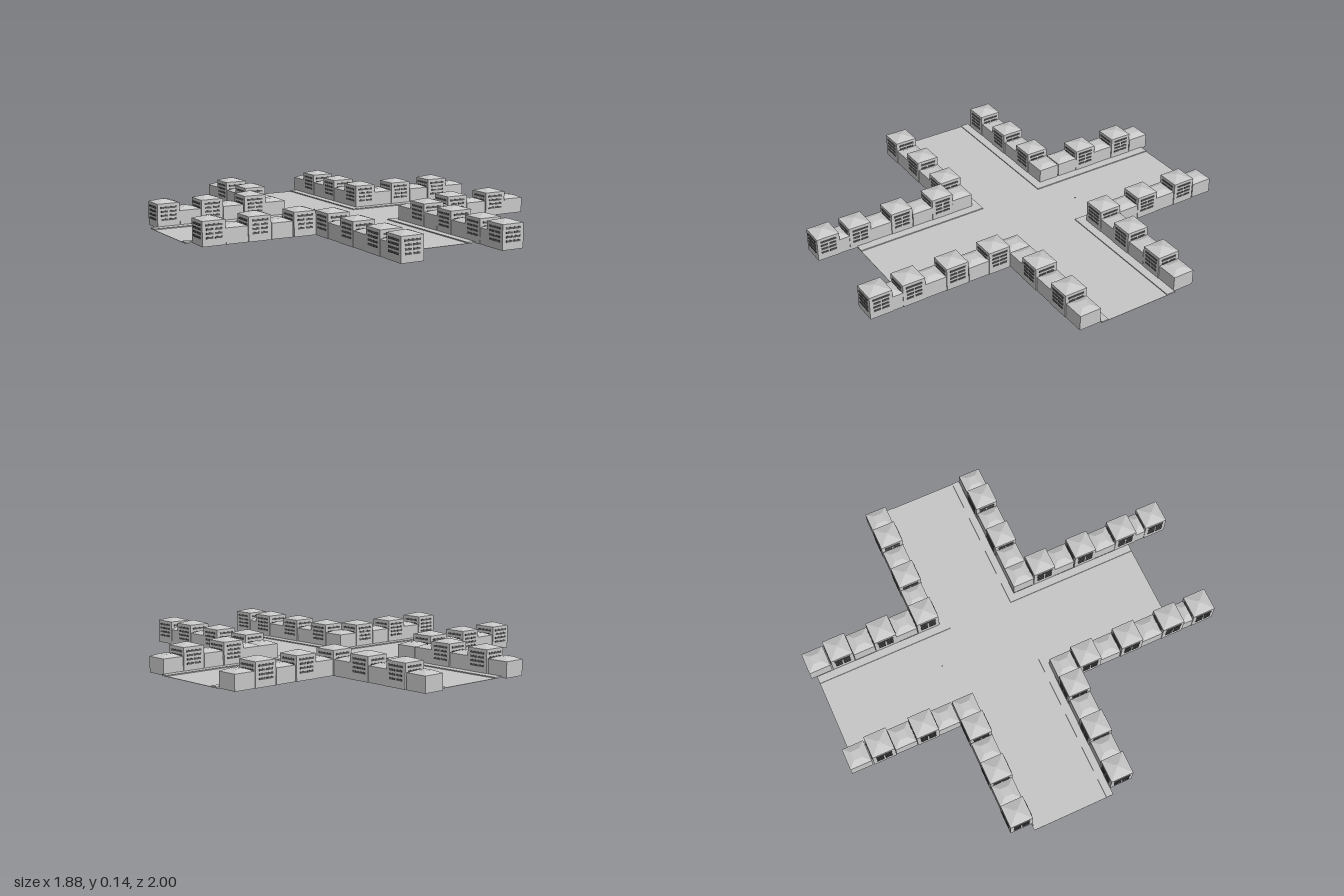
import * as THREE from 'three';

const stone = new THREE.MeshStandardMaterial({ color: 0xc8c8c8 });
stone.name = 'light grey';
const glass = new THREE.MeshStandardMaterial({ color: 0x5c5c5c });
glass.name = 'dark grey';

const LOW = { width: 0.113, wall: 0.078, roof: 0.014, top: 0.4 };
const TALL = { width: 0.118, wall: 0.12, roof: 0.016, top: 0.12 };

function mesh(name, geometry, material, x = 0, y = 0, z = 0) {
  const m = new THREE.Mesh(geometry, material);
  m.name = name;
  m.position.set(x, y, z);
  return m;
}

// Box given by its corners on the ground plan
function slab(name, x0, x1, z0, z1, y0, y1) {
  return mesh(name, new THREE.BoxGeometry(Math.abs(x1 - x0), y1 - y0, Math.abs(z1 - z0)), stone,
    (x0 + x1) / 2, (y0 + y1) / 2, (z0 + z1) / 2);
}

// Four-sided hipped roof with crisp faces
function roofGeometry({ width, roof, top }) {
  const r = width / Math.SQRT2;
  const g = new THREE.CylinderGeometry(r * top, r, roof, 4).rotateY(Math.PI / 4).toNonIndexed();
  g.computeVertexNormals();
  return g;
}

function building(kind, x, z) {
  const group = new THREE.Group();
  const tall = kind === TALL;
  group.name = tall ? 'tallHouse' : 'lowHouse';
  group.position.set(x, 0, z);
  const { width, wall, roof } = kind;
  group.add(mesh('walls', new THREE.BoxGeometry(width, wall, width), stone, 0, wall / 2, 0));
  group.add(mesh('roof', roofGeometry(kind), stone, 0, wall + roof / 2, 0));
  if (tall) {
    // Window bands on all four sides: a full one on top, split ones below
    for (let side = 0; side < 4; side++) {
      const face = new THREE.Group();
      face.name = 'windows';
      face.rotation.y = side * Math.PI / 2;
      [0.1, 0.08, 0.06, 0.04].forEach((y, row) => {
        const bands = row === 0 ? [[0, 0.084]] : [[-0.022, 0.036], [0.022, 0.036]];
        for (const [bx, w] of bands) {
          face.add(mesh('window', new THREE.BoxGeometry(w, 0.009, 0.006), glass, bx, y, width / 2));
        }
      });
      group.add(face);
    }
  }
  return group;
}

export function createModel() {
  const model = new THREE.Group();
  model.name = 'crossroads';

  // Crossing roads
  const road = new THREE.Group();
  road.name = 'road';
  road.add(slab('crossRoad', -0.94, 0.94, -0.3, 0.125, 0, 0.002));
  road.add(slab('backRoad', -0.2, 0.23, -0.97, -0.3, 0, 0.002));
  road.add(slab('frontRoad', -0.2, 0.23, 0.125, 0.79, 0, 0.002));
  road.add(mesh('manholeCover', new THREE.CylinderGeometry(0.004, 0.004, 0.002, 8), glass, 0.02, 0.003, -0.37));
  model.add(road);

  // Pavement round each corner
  for (const [px, bx, ex] of [[-0.15, -0.2, -0.94], [0.19, 0.23, 0.94]]) {
    for (const [pz, bz, ez] of [[0.09, 0.127, 0.79], [-0.25, -0.295, -0.97]]) {
      const pavement = new THREE.Group();
      pavement.name = 'pavement';
      pavement.add(slab('sidePavement', px, ex, pz, bz, 0, 0.007));
      pavement.add(slab('lengthPavement', px, bx, bz, ez, 0, 0.007));
      model.add(pavement);
    }
  }

  // House rows along the side arms, from the crossing outwards
  const leftXs = [0.29, 0.402, 0.515, 0.635, 0.755, 0.873];
  const rightXs = [-0.253, -0.37, -0.49, -0.61, -0.727, -0.845];
  for (const z of [-0.352, 0.185]) {
    leftXs.forEach((x, i) => {
      const tall = i % 2 === 0 && !(i === 0 && z > 0);
      model.add(building(tall ? TALL : LOW, x, z));
    });
    rightXs.forEach((x, i) => model.add(building(i % 2 ? TALL : LOW, x, z)));
  }

  // House rows along the front and back arms
  const frontZs = [[0.302, 1], [0.415, 0], [0.535, 1], [0.652, 0], [0.768, 1], [0.88, 0], [0.94, 1]];
  const backZs = [[-0.47, 0], [-0.585, 1], [-0.702, 0], [-0.82, 1], [-0.942, 0]];
  for (const x of [-0.253, 0.29]) {
    for (const [z, tall] of [...frontZs, ...backZs]) {
      model.add(building(tall ? TALL : LOW, x, z));
    }
  }
  return model;
}
